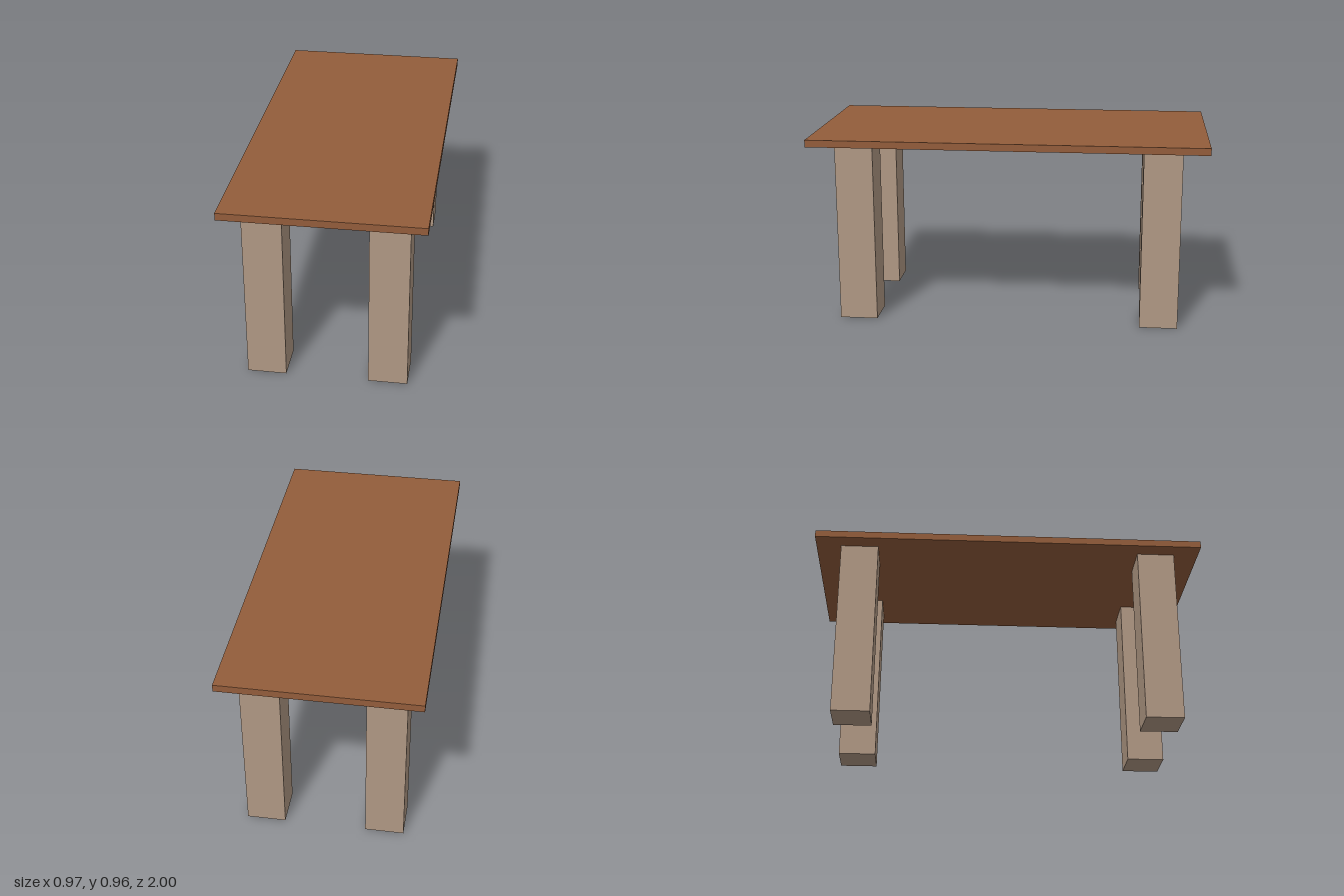
import * as THREE from 'three';

export function createModel() {
  const model = new THREE.Group();
  model.name = 'table';

  const topWood = new THREE.MeshStandardMaterial({ color: 0x935d3b });
  topWood.name = 'brown wood';
  const legWood = new THREE.MeshStandardMaterial({ color: 0xb09884 });
  legWood.name = 'pale wood';

  const height = 0.961, thickness = 0.036;
  const legHeight = height - thickness, legWidth = 0.193;

  // Thin rectangular slab
  const top = new THREE.Mesh(new THREE.BoxGeometry(0.968, thickness, 2), topWood);
  top.name = 'tabletop';
  top.position.y = height - thickness / 2;
  model.add(top);

  // Four square legs, set in from the edges
  const legGeometry = new THREE.BoxGeometry(legWidth, legHeight, legWidth);
  for (const [side, x] of [['Left', 0.301], ['Right', -0.301]]) {
    for (const [end, z] of [['front', 0.776], ['back', -0.776]]) {
      const leg = new THREE.Mesh(legGeometry, legWood);
      leg.name = `${end}${side}Leg`;
      leg.position.set(x, legHeight / 2, z);
      model.add(leg);
    }
  }

  return model;
}
